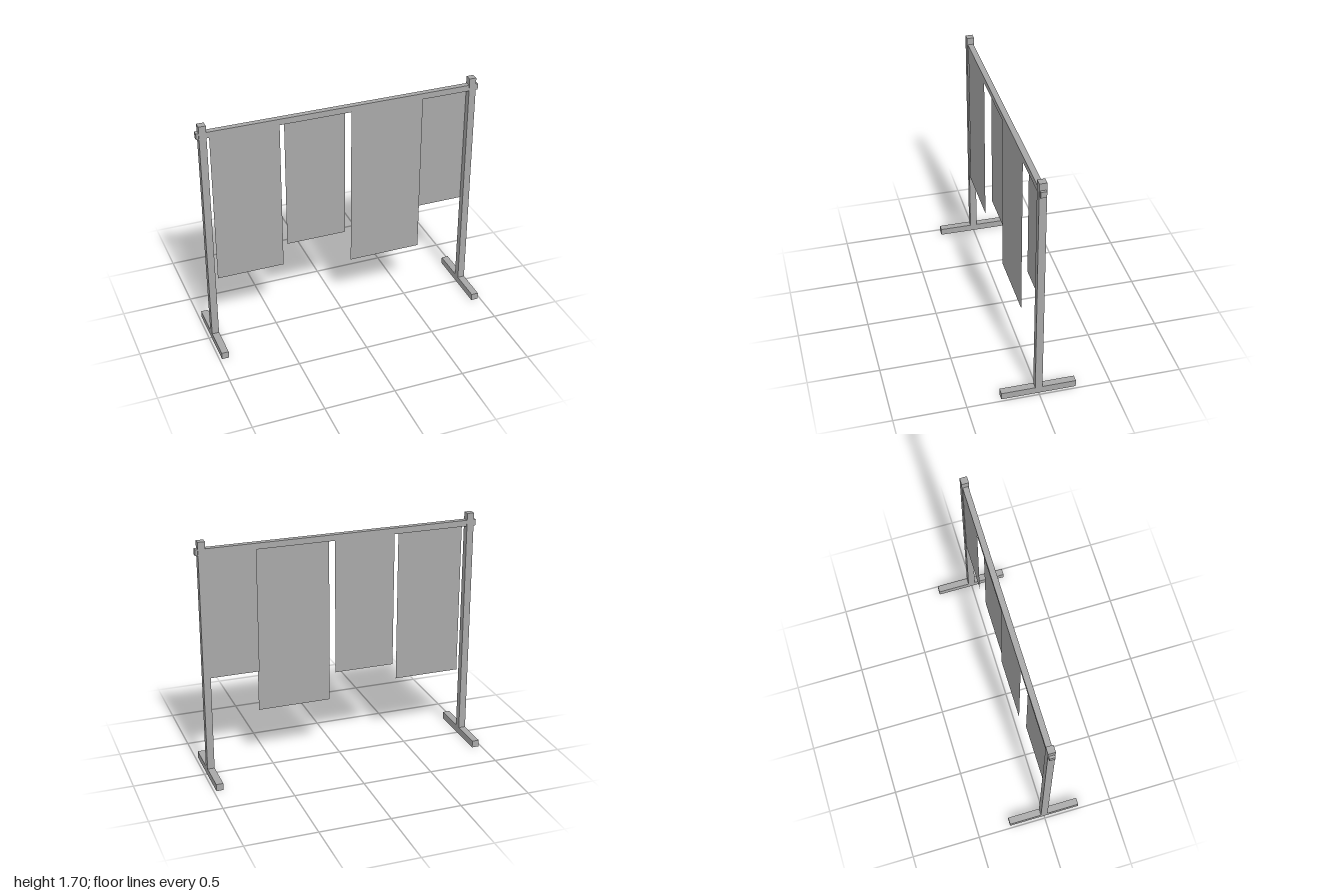
import * as THREE from 'three';

export function createModel() {
  const model = new THREE.Group();
  model.name = 'hangingPanelStand';
  const grey = new THREE.MeshStandardMaterial({ color: 0xa8a8a8, side: THREE.DoubleSide });
  grey.name = 'grey';

  const add = (name, geometry, x, y, z) => {
    const mesh = new THREE.Mesh(geometry, grey);
    mesh.name = name;
    mesh.position.set(x, y, z);
    model.add(mesh);
  };

  // Posts standing on long floor feet
  for (const [side, s] of [['left', 1], ['right', -1]]) {
    add(side + 'Foot', new THREE.BoxGeometry(0.05, 0.05, 0.52), s * 0.957, 0.025, 0);
    add(side + 'Post', new THREE.BoxGeometry(0.05, 1.65, 0.05), s * 0.957, 0.875, 0);
  }

  // Top rail passing through both posts
  const railBottom = 1.607, railTop = 1.65, railHalf = 0.02;
  add('topRail', new THREE.BoxGeometry(2, railTop - railBottom, railHalf * 2),
    0, (railBottom + railTop) / 2, 0);

  // Thin hanging sheets, alternately flush with the rail's front and back:
  // [x start, x end, bottom, side of the rail]
  const sheets = [
    [-0.914, -0.437, 0.507, 1],
    [-0.393, 0.038, 0.642, -1],
    [0.067, 0.588, 0.422, 1],
    [0.588, 0.932, 0.732, -1],
  ];
  sheets.forEach(([x0, x1, bottom, s], i) => {
    add('hangingSheet' + (i + 1), new THREE.PlaneGeometry(x1 - x0, railBottom - bottom),
      (x0 + x1) / 2, (railBottom + bottom) / 2, s * railHalf);
  });

  return model;
}
